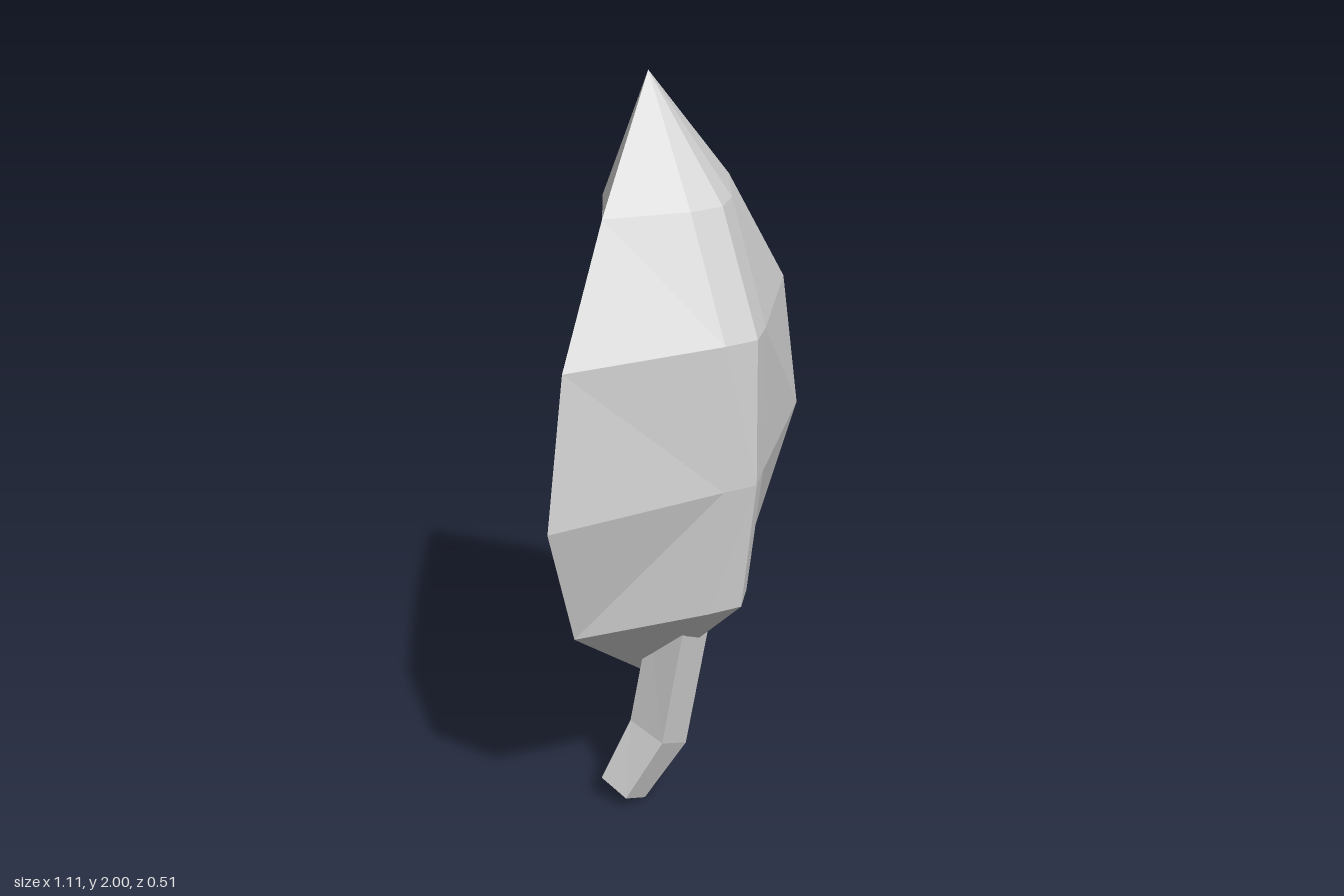
import * as THREE from 'three';

const grey = new THREE.MeshStandardMaterial({ color: 0xcccccc, flatShading: true });
grey.name = 'light grey';

// Skins a stack of equal rings (lowest first) and closes both ends to a point.
// Rings run from +x through +z to -x; splitUp chooses the diagonal of each quad.
function loft(bottom, rings, top, splitUp = () => true) {
  const pos = [];
  const tri = (...corners) => corners.forEach((c) => pos.push(...c));
  const n = rings[0].length;
  const last = rings[rings.length - 1];
  for (let j = 0; j < n; j++) {
    const k = (j + 1) % n;
    tri(bottom, rings[0][j], rings[0][k]);
    tri(top, last[k], last[j]);
    for (let i = 0; i < rings.length - 1; i++) {
      const a = rings[i], b = rings[i + 1];
      if (splitUp(i, j)) {
        tri(a[j], b[k], a[k]);
        tri(a[j], b[j], b[k]);
      } else {
        tri(a[j], b[j], a[k]);
        tri(a[k], b[j], b[k]);
      }
    }
  }
  const geo = new THREE.BufferGeometry();
  geo.setAttribute('position', new THREE.Float32BufferAttribute(pos, 3));
  geo.computeVertexNormals();
  return geo;
}

// Leaf section: sharp side edges, a midrib ridge front and back, a shoulder beside each ridge
function leafRing([y, ridgeX, xMin, xMax, zSide, zFront, zFrontShoulder, zBack, zBackShoulder]) {
  const w = 0.09;
  return [
    [xMax, y, zSide],
    [ridgeX + w, y, zFrontShoulder],
    [ridgeX, y, zFront],
    [ridgeX - w, y, zFrontShoulder],
    [xMin, y, zSide],
    [ridgeX - w, y, zBackShoulder],
    [ridgeX, y, zBack],
    [ridgeX + w, y, zBackShoulder],
  ];
}

// Stem section: a tilted rectangle around a centre
function stemRing([x, y, z, halfW, halfD, tiltX, tiltZ]) {
  return [[1, -1], [1, 1], [-1, 1], [-1, -1]].map(([sx, sz]) => [
    x + sx * halfW,
    y - sx * tiltX - sz * tiltZ,
    z + sz * halfD,
  ]);
}

export function createModel() {
  const group = new THREE.Group();
  const add = (name, geometry) => {
    const mesh = new THREE.Mesh(geometry, grey);
    mesh.name = name;
    group.add(mesh);
  };

  // Puffed leaf blade
  const blade = [
    [0.645, -0.018, -0.425, 0.39, -0.015, 0.225, 0.18, -0.258, -0.212],
    [1.0, 0.0, -0.555, 0.555, 0.015, 0.256, 0.215, -0.22, -0.185],
    [1.385, 0.03, -0.455, 0.51, -0.01, 0.232, 0.195, -0.25, -0.21],
    [1.7, 0.072, -0.2, 0.345, -0.083, 0.09, 0.055, -0.257, -0.225],
  ].map(leafRing);
  add('leafBlade', loft([0.005, 0.325, -0.095], blade, [0.135, 2, -0.192],
    (band, j) => (j % 4 === 0) !== (band > 0 && j !== 0)));

  // Bent stem, its top buried in the blade
  const stem = [
    [-0.157, 0.04, -0.072, 0.043, 0.043, 0.02, 0.018],
    [-0.075, 0.205, -0.01, 0.055, 0.055, 0.025, 0.018],
    [-0.028, 0.54, 0.028, 0.062, 0.056, 0.008, 0.005],
  ];
  add('stem', loft(stem[0].slice(0, 3), stem.map(stemRing), stem[2].slice(0, 3)));

  return group;
}
